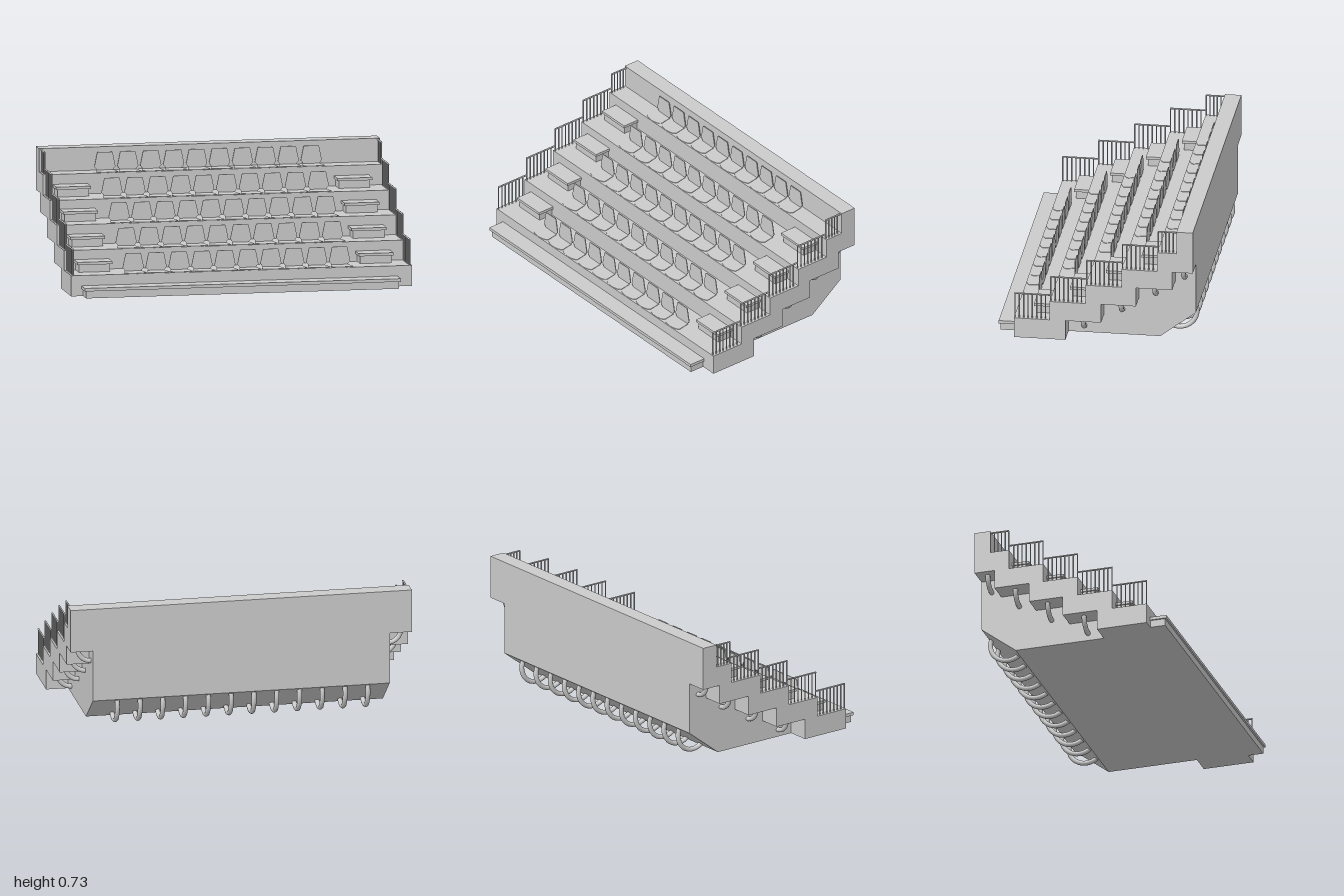
import * as THREE from 'three';

const material = new THREE.MeshStandardMaterial({ color: 0xcccccc });
const ROW_FRONT = [0.47, 0.262, 0.053, -0.155, -0.363];
const FLOOR = [0.13, 0.245, 0.36, 0.472, 0.59];
const WALL_FRONT = -0.475, BACK = -0.57, WALL_TOP = 0.725, BASE = 0.01;
const INNER = 0.87;

function add(parent, name, geometry, x = 0, y = 0, z = 0) {
  const mesh = new THREE.Mesh(geometry, material);
  mesh.name = name;
  mesh.position.set(x, y, z);
  parent.add(mesh);
  return mesh;
}

function box(parent, name, x0, x1, y0, y1, z0, z1) {
  return add(parent, name, new THREE.BoxGeometry(x1 - x0, y1 - y0, z1 - z0),
    (x0 + x1) / 2, (y0 + y1) / 2, (z0 + z1) / 2);
}

// Extrudes a side profile, given as [z, y] points, from x0 to x1
function sideExtrude(points, x0, x1) {
  const shape = new THREE.Shape(points.map(([z, y]) => new THREE.Vector2(-z, y)));
  return new THREE.ExtrudeGeometry(shape, { depth: x1 - x0, bevelEnabled: false })
    .rotateY(Math.PI / 2).translate(x0, 0, 0);
}

// Stepped upper outline from the front bottom to the back top
function stepOutline() {
  const points = [[ROW_FRONT[0], BASE]];
  FLOOR.forEach((y, i) => points.push([ROW_FRONT[i], y], [ROW_FRONT[i + 1] ?? WALL_FRONT, y]));
  points.push([WALL_FRONT, WALL_TOP], [BACK, WALL_TOP]);
  return points;
}

function addRailing(parent, side, row) {
  const rail = new THREE.Group();
  rail.name = 'railing';
  const last = row === 4;
  const front = ROW_FRONT[row] - 0.005, back = last ? WALL_FRONT : ROW_FRONT[row + 1];
  const height = last ? 0.127 : 0.15;
  const x = side * 0.987, y = FLOOR[row];
  const count = last ? 5 : 8;
  for (let i = 0; i < count; i++) {
    const z = front - (i / count) * (front - back);
    add(rail, 'railingPost', new THREE.CylinderGeometry(0.004, 0.004, height, 8), x, y + height / 2, z);
  }
  add(rail, 'handrail', new THREE.CylinderGeometry(0.005, 0.005, front - back + 0.004, 8),
    x, y + height, (front + back) / 2).rotation.x = Math.PI / 2;
  parent.add(rail);
}

// Tapered seat back and thin rounded pan
function seatBackGeometry() {
  const s = new THREE.Shape();
  s.moveTo(-0.044, 0);
  s.lineTo(-0.062, 0.022);
  s.lineTo(-0.046, 0.1);
  s.quadraticCurveTo(-0.045, 0.106, -0.039, 0.106);
  s.lineTo(0.039, 0.106);
  s.quadraticCurveTo(0.045, 0.106, 0.046, 0.1);
  s.lineTo(0.062, 0.022);
  s.lineTo(0.044, 0);
  return new THREE.ExtrudeGeometry(s, { depth: 0.005, bevelEnabled: false, curveSegments: 4 });
}

function seatPanGeometry() {
  const s = new THREE.Shape();
  s.moveTo(-0.05, 0);
  s.lineTo(-0.064, -0.07);
  s.quadraticCurveTo(-0.06, -0.092, 0, -0.097);
  s.quadraticCurveTo(0.06, -0.092, 0.064, -0.07);
  s.lineTo(0.05, 0);
  return new THREE.ExtrudeGeometry(s, { depth: 0.006, bevelEnabled: false, curveSegments: 6 })
    .rotateX(-Math.PI / 2);
}

export function createModel() {
  const model = new THREE.Group();
  model.name = 'grandstand';

  // Central body with its sloped lower back
  add(model, 'standBody', sideExtrude(
    [...stepOutline(), [BACK, 0.17], [-0.363, BASE]], -INNER, INNER));

  // Outer ends with a stepped underside
  const under = [[BACK, 0.472], [-0.45, 0.472], [-0.45, 0.36], [-0.24, 0.36],
    [-0.24, 0.245], [-0.037, 0.245], [-0.037, 0.13], [0.17, 0.13], [0.17, BASE]];
  const endProfile = [...stepOutline(), ...under];
  add(model, 'leftEnd', sideExtrude(endProfile, INNER, 1));
  add(model, 'rightEnd', sideExtrude(endProfile, -1, -INNER));

  // Low step along the front
  box(model, 'frontStepBase', -0.93, 0.905, BASE, 0.052, 0.465, 0.56);
  box(model, 'frontStepTop', -0.94, 0.915, 0.052, 0.07, 0.465, 0.57);

  // Seats
  const backGeometry = seatBackGeometry(), panGeometry = seatPanGeometry();
  FLOOR.forEach((y, row) => {
    const seats = new THREE.Group();
    seats.name = 'seatRow';
    for (let i = 0; i < 10; i++) {
      const seat = new THREE.Group();
      seat.name = 'seat';
      seat.position.set(-0.617 + i * 0.1345, y, ROW_FRONT[row] - 0.098);
      add(seat, 'seatBack', backGeometry, 0, 0, -0.002);
      add(seat, 'seatPan', panGeometry, 0, -0.003, 0).scale.z = 1;
      seats.add(seat);
    }
    model.add(seats);
  });

  for (const side of [-1, 1]) {
    for (let row = 0; row < 5; row++) addRailing(model, side, row);

    // Half-height aisle steps against each riser
    for (let row = 0; row < 4; row++) {
      const z = ROW_FRONT[row + 1], y = FLOOR[row];
      const cx = side > 0 ? 0.81 : -0.84;
      box(model, 'aisleStepBase', cx - 0.092, cx + 0.092, y, y + 0.044, z - 0.003, z + 0.092);
      box(model, 'aisleStepTop', cx - 0.102, cx + 0.102, y + 0.044, y + 0.06, z - 0.003, z + 0.102);
    }

    // Curved brackets beneath the outer ends
    [[0.075, 0.13], [-0.145, 0.245], [-0.34, 0.36], [-0.507, 0.472]].forEach(([z, y]) => {
      const bracket = add(model, 'sideBracket',
        new THREE.TorusGeometry(0.077, 0.014, 10, 14, Math.PI / 2), side * INNER, y, z);
      bracket.rotation.z = side > 0 ? -Math.PI / 2 : Math.PI;
    });
  }

  // Hoops on the sloped lower back
  const hoop = new THREE.TorusGeometry(0.105, 0.014, 12, 40).rotateY(Math.PI / 2);
  for (let i = 0; i < 12; i++) add(model, 'backHoop', hoop, -0.745 + i * 0.1335, 0.119, -0.451);

  return model;
}
